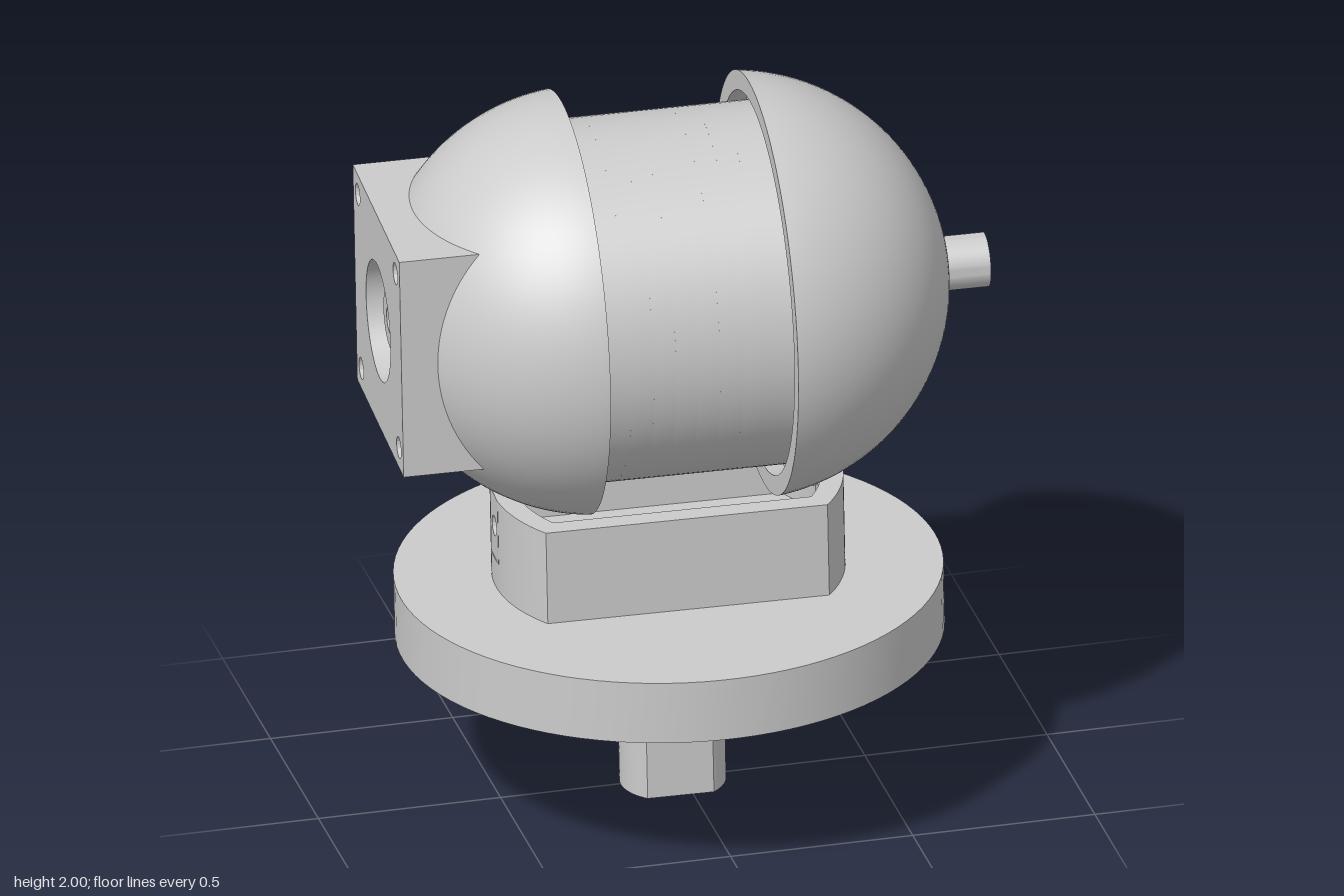
import * as THREE from 'three';
import { toCreasedNormals } from 'three/addons/utils/BufferGeometryUtils.js';

const BALL_Y = 1.425;   // height of the ball axis
const BALL_R = 0.572;   // cap sphere radius
const BODY_R = 0.487;   // central drum radius
const CUT = 0.254;      // caps are cut at this distance from the middle
const CAP_C = 0.194;    // cap sphere centre

const material = new THREE.MeshStandardMaterial({ color: 0xcccccc });

function part(name, geometry, parent) {
  const mesh = new THREE.Mesh(toCreasedNormals(geometry, 0.5), material);
  mesh.name = name;
  parent.add(mesh);
  return mesh;
}

const extrude = (shape, depth) =>
  new THREE.ExtrudeGeometry(shape, { depth, bevelEnabled: false, curveSegments: 48 });

// extrude upwards from y (shape y becomes -z)
const extrudeUp = (shape, y, h) => extrude(shape, h).rotateX(-Math.PI / 2).translate(0, y, 0);

// extrude along x (shape x becomes -z)
const extrudeX = (shape, x0, x1) => extrude(shape, x1 - x0).rotateY(Math.PI / 2).translate(x0, 0, 0);

function circle(Type, r, x = 0, y = 0) {
  const c = new Type();
  c.absarc(x, y, r, 0, Math.PI * 2, false);
  return c;
}

function rect(w, h) {
  return new THREE.Shape([[-w, -h], [w, -h], [w, h], [-w, h]].map(([x, y]) => new THREE.Vector2(x / 2, y / 2)));
}

// disc with two flats
function flattedDisc(r, flat) {
  const a = Math.asin(flat / r);
  const s = new THREE.Shape();
  s.absarc(0, 0, r, -a, a, false);
  s.absarc(0, 0, r, Math.PI - a, Math.PI + a, false);
  s.closePath();
  return s;
}

function buildBase(g) {
  // D-shaped shaft, flat towards the front, with a centre hole in its end
  const a = Math.asin(0.11 / 0.142);
  const dShape = new THREE.Shape();
  dShape.absarc(0, 0, 0.142, -a, Math.PI + a, false);
  dShape.closePath();
  dShape.holes.push(circle(THREE.Path, 0.03));
  part('shaft', extrudeUp(dShape, 0, 0.45), g);

  part('flange', new THREE.CylinderGeometry(0.731, 0.731, 0.175, 96).translate(0, 0.5325, 0), g);

  // saddle: solid floor, two side walls and drilled end pieces
  const R = 0.47, F = 0.275, r = 0.41, f = 0.215, gap = 0.05;
  const floorY = 0.7, topY = 0.885, h = topY - floorY;
  part('saddleFloor', extrudeUp(flattedDisc(R, F), 0.62, floorY - 0.62), g);

  const wall = new THREE.Shape();
  const o0 = Math.asin(gap / R), o1 = Math.asin(F / R);
  const i0 = Math.asin(gap / r), i1 = Math.asin(f / r);
  wall.absarc(0, 0, R, o0, o1, false);
  wall.absarc(0, 0, R, Math.PI - o1, Math.PI - o0, false);
  wall.absarc(0, 0, r, Math.PI - i0, Math.PI - i1, true);
  wall.absarc(0, 0, r, i1, i0, true);
  wall.closePath();

  const end = rect(gap * 2, h);
  end.holes.push(circle(THREE.Path, 0.028));
  for (const turn of [0, Math.PI]) {
    part('saddleWall', extrudeUp(wall, floorY, h).rotateY(turn), g);
    part('saddleEnd', extrudeX(end, r - 0.003, R - 0.002)
      .translate(0, (floorY + topY) / 2, 0).rotateY(turn), g);
  }
}

function buildDrum(g) {
  // closed ends of the drum
  const half = 0.18, endX = 0.31;
  for (const s of [-1, 1]) {
    part('drumEnd', new THREE.CylinderGeometry(BODY_R, BODY_R, endX - half, 96)
      .rotateZ(Math.PI / 2).translate(s * (half + endX) / 2, 0, 0), g);
  }
  // middle slices with a pocket open to the back and a stepped floor
  const top = 0.12, depth = 0.1;
  const floors = [-0.2, -0.235, -0.27, -0.27, -0.235, -0.2];
  const step = (2 * half) / floors.length;
  floors.forEach((floor, i) => {
    const s = new THREE.Shape();
    s.absarc(0, 0, BODY_R, Math.asin(top / BODY_R), Math.PI * 2 + Math.asin(floor / BODY_R), false);
    s.lineTo(depth, floor);
    s.lineTo(depth, top);
    s.closePath();
    part('drumSlice', extrudeX(s, -half + i * step, -half + (i + 1) * step), g);
  });
}

// spherical cap with a flat rim and a groove around the drum
function capGeometry(side, endAngle) {
  const pts = [[BODY_R - 0.01, 0.305], [0.515, 0.305], [0.515, CUT]].map(p => new THREE.Vector2(...p));
  const start = Math.acos((CUT - CAP_C) / BALL_R), n = 32;
  for (let i = 0; i <= n; i++) {
    const t = start + (endAngle - start) * i / n;
    pts.push(new THREE.Vector2(BALL_R * Math.sin(t), CAP_C + BALL_R * Math.cos(t)));
  }
  return new THREE.LatheGeometry(pts, 96).rotateZ(-side * Math.PI / 2);
}

function buildMount(g) {
  // square mounting block with corner holes and a round recess
  const W = 0.63, outer = -0.77, inner = -0.69;
  const face = rect(W, W);
  face.holes.push(circle(THREE.Path, 0.165));
  for (const y of [-0.255, 0.255]) for (const z of [-0.255, 0.255]) {
    face.holes.push(circle(THREE.Path, 0.03, z, y));
  }
  part('mountFace', extrudeX(face, outer, inner), g);
  part('mountBlock', extrudeX(rect(W, W), inner, -0.5), g);

  const boss = circle(THREE.Shape, 0.08);
  boss.holes.push(circle(THREE.Path, 0.037));
  part('mountBoss', extrudeX(boss, outer + 0.03, inner), g);
}

export function createModel() {
  const model = new THREE.Group();
  model.name = 'ballJoint';

  const body = new THREE.Group();
  body.name = 'assembly';
  body.position.set(-0.03, 0.003, 0.01);
  body.rotation.set(-0.02, -0.06, 0.014);
  model.add(body);

  const base = new THREE.Group();
  base.name = 'base';
  body.add(base);
  buildBase(base);

  const ball = new THREE.Group();
  ball.name = 'ball';
  ball.position.y = BALL_Y;
  body.add(ball);
  buildDrum(ball);
  part('pinCap', capGeometry(1, 0), ball);
  part('mountCap', capGeometry(-1, Math.asin(0.3 / BALL_R)), ball);
  buildMount(ball);

  part('pin', new THREE.CylinderGeometry(0.073, 0.073, 0.175, 48)
    .rotateZ(Math.PI / 2).translate(0.7875, 0, 0), ball);

  return model;
}
